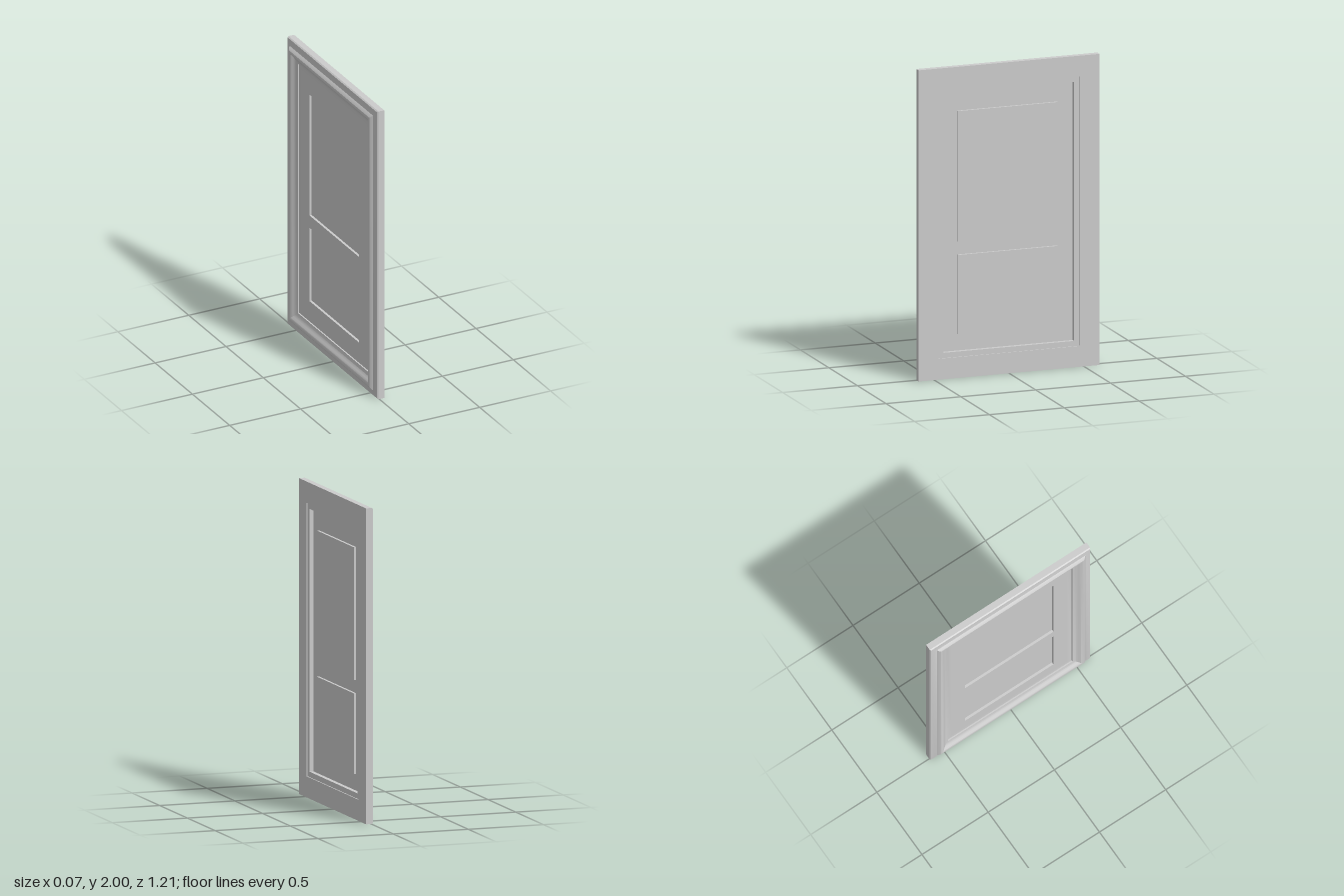
import * as THREE from 'three';
import { toCreasedNormals } from 'three/addons/utils/BufferGeometryUtils.js';

const grey = new THREE.MeshStandardMaterial({ color: 0xcccccc });
const greyThin = new THREE.MeshStandardMaterial({ color: 0xcccccc, side: THREE.DoubleSide });
const HALF_W = 0.605, HALF_H = 1;

// Sweeps a profile of [inset, x] points round a mitred rectangle in the z-y plane.
function mitredFrame(halfW, halfH, profile) {
  const corners = [[-1, -1], [1, -1], [1, 1], [-1, 1]];
  const pos = [];
  const point = ([inset, x], i) => {
    const [sz, sy] = corners[i % 4];
    return [x, sy * (halfH - inset), sz * (halfW - inset)];
  };
  for (let k = 0; k < profile.length - 1; k++) {
    for (let i = 0; i < 4; i++) {
      const a = point(profile[k], i), b = point(profile[k], i + 1);
      const c = point(profile[k + 1], i + 1), d = point(profile[k + 1], i);
      pos.push(...a, ...b, ...c, ...a, ...c, ...d);
    }
  }
  const geo = new THREE.BufferGeometry();
  geo.setAttribute('position', new THREE.Float32BufferAttribute(pos, 3));
  geo.computeVertexNormals();
  return toCreasedNormals(geo, 0.5);
}

function rectPath(path, halfW, y0, y1) {
  path.moveTo(-halfW, y0);
  path.lineTo(halfW, y0);
  path.lineTo(halfW, y1);
  path.lineTo(-halfW, y1);
  path.closePath();
  return path;
}

function addMesh(parent, name, geo, material) {
  const mesh = new THREE.Mesh(geo, material);
  mesh.name = name;
  parent.add(mesh);
  return mesh;
}

export function createModel() {
  const door = new THREE.Group();
  door.name = 'panelledDoor';

  // Frame: flat on one face, curved moulding on the other
  const profile = [
    [0, 0.035], [0, -0.005], [0.006, -0.013], [0.03, -0.016], [0.045, -0.02],
    [0.055, -0.03], [0.064, -0.036], [0.076, -0.037], [0.086, -0.034],
    [0.098, -0.024], [0.112, -0.015], [0.134, -0.009], [0.134, 0], [0.168, 0],
    [0.168, 0.028], [0.134, 0.028], [0.134, 0.035], [0, 0.035],
  ];
  const frame = addMesh(door, 'mouldedFrame', mitredFrame(HALF_W, HALF_H, profile), grey);
  frame.position.y = 1;

  // Thin leaf with two openings for the embossed panels
  const panels = [['upperPanel', 0.87, 1.71], ['lowerPanel', 0.275, 0.785]];
  const panelHalfW = 0.333, panelX = 0.016;
  const leafShape = rectPath(new THREE.Shape(), HALF_W - 0.168, 0.168, 1.832);
  for (const [, y0, y1] of panels) {
    leafShape.holes.push(rectPath(new THREE.Path(), panelHalfW, y0, y1));
  }
  const leaf = new THREE.ShapeGeometry(leafShape).rotateY(Math.PI / 2);
  addMesh(door, 'leaf', leaf, greyThin);

  // Panels pressed out of the leaf: side walls and flat face
  for (const [name, y0, y1] of panels) {
    const panel = new THREE.Group();
    panel.name = name;
    panel.position.y = (y0 + y1) / 2;
    const walls = mitredFrame(panelHalfW, (y1 - y0) / 2, [[0, panelX], [0, 0]]);
    addMesh(panel, name + 'Walls', walls, greyThin);
    const face = new THREE.PlaneGeometry(panelHalfW * 2, y1 - y0).rotateY(Math.PI / 2);
    addMesh(panel, name + 'Face', face, greyThin).position.x = panelX;
    door.add(panel);
  }
  return door;
}
